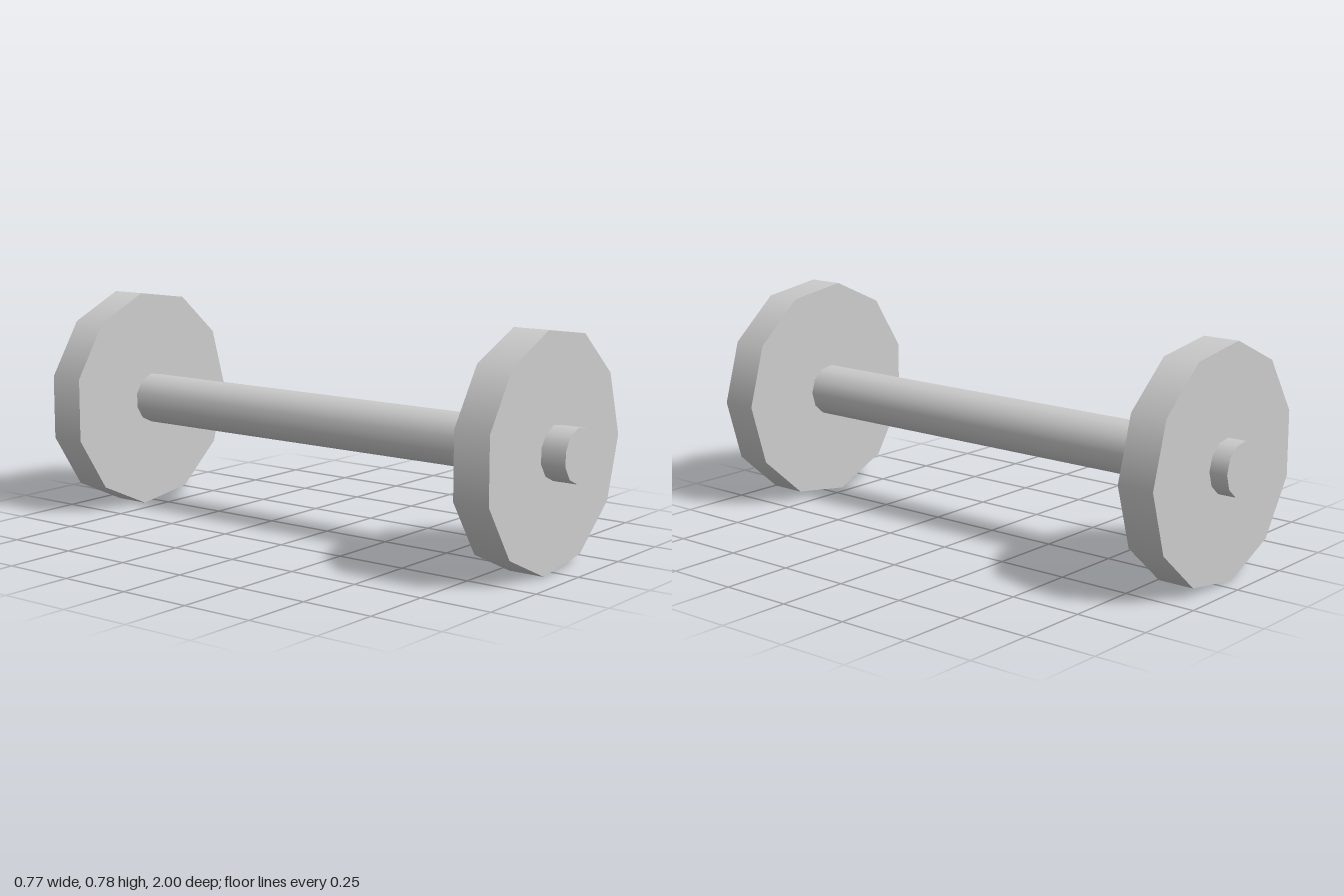
import * as THREE from 'three';

const SIDES = 11;
const AXIS_X = -0.008;
const AXIS_Y = 0.389;

export function createModel() {
  const group = new THREE.Group();
  group.name = 'wheelAxle';
  const material = new THREE.MeshStandardMaterial({ color: 0xcccccc });

  // Eleven-sided disc lying along z, with one corner pointing to +x
  function addDisc(name, radius, length, z) {
    const geometry = new THREE.CylinderGeometry(radius, radius, length, SIDES, 1, false, Math.PI / 2);
    geometry.rotateX(Math.PI / 2);
    const mesh = new THREE.Mesh(geometry, material);
    mesh.name = name;
    mesh.position.set(AXIS_X, AXIS_Y, z);
    group.add(mesh);
  }

  // Bar through both wheels
  addDisc('axle', 0.09, 2, 0);

  // The back wheel sits slightly nearer its end of the bar
  addDisc('frontWheel', 0.393, 0.128, 0.849);
  addDisc('backWheel', 0.393, 0.128, -0.872);

  return group;
}
